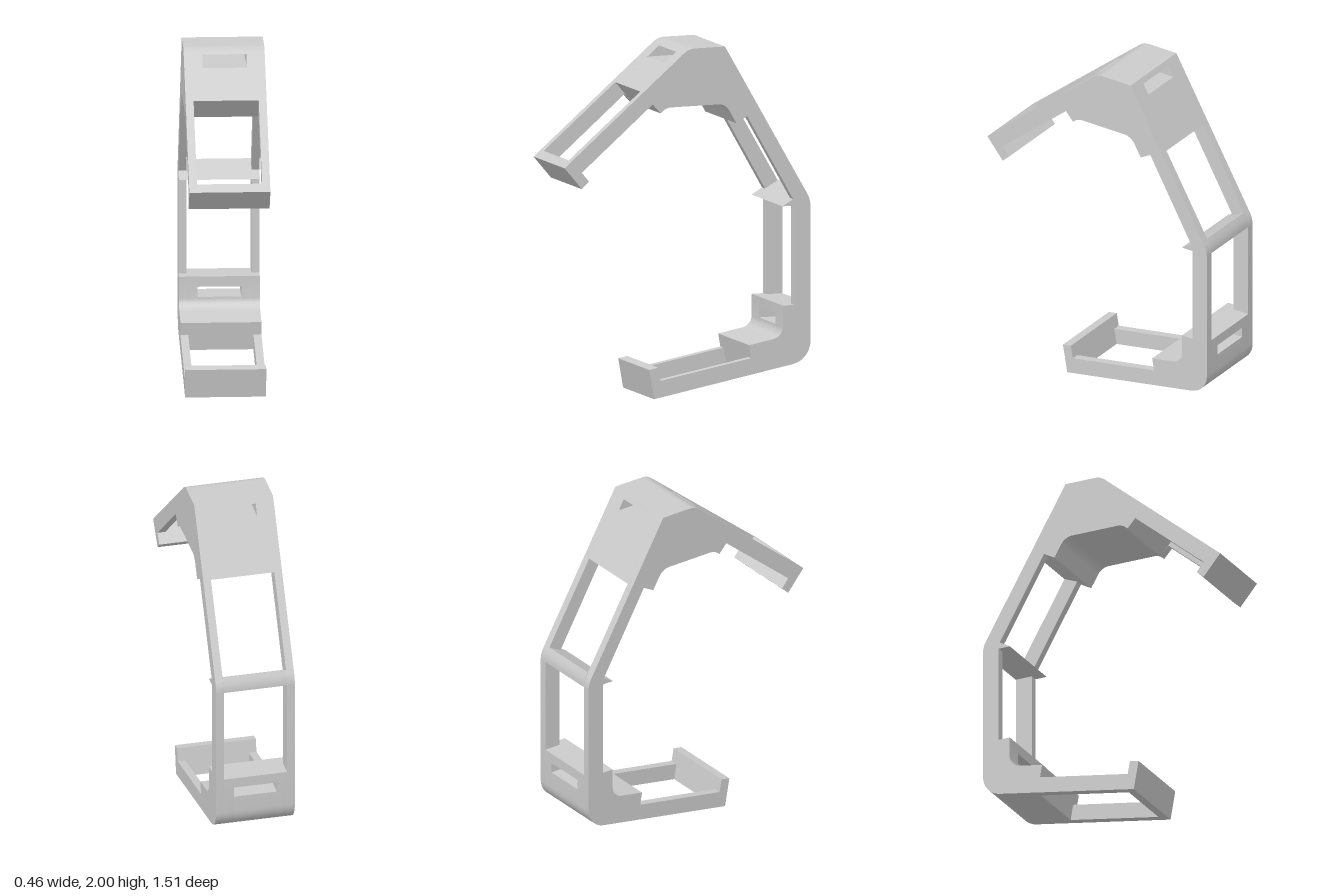
import * as THREE from 'three';
import { toCreasedNormals } from 'three/addons/utils/BufferGeometryUtils.js';

const HALF = 0.23, WINDOW = 0.185, SLOT = 0.125; // half widths along x

// Side outline from [z, y, radius] corners; a radius rounds the corner
function outline(points) {
  const shape = new THREE.Shape();
  const v = points.map(([z, y]) => new THREE.Vector2(z, y));
  points.forEach(([z, y, r], i) => {
    if (i === 0) return shape.moveTo(z, y);
    if (!r) return shape.lineTo(z, y);
    const a = v[i - 1].clone().sub(v[i]).normalize();
    const b = v[(i + 1) % v.length].clone().sub(v[i]).normalize();
    const turn = Math.PI - Math.acos(a.dot(b));
    const t = r * Math.tan(turn / 2);
    const c = t - (4 / 3) * Math.tan(turn / 4) * r;
    const at = (dir, d) => v[i].clone().addScaledVector(dir, d);
    const p = at(a, t), c1 = at(a, c), c2 = at(b, c), q = at(b, t);
    shape.lineTo(p.x, p.y);
    shape.bezierCurveTo(c1.x, c1.y, c2.x, c2.y, q.x, q.y);
  });
  return shape;
}

export function createModel() {
  const group = new THREE.Group();
  const material = new THREE.MeshStandardMaterial({ color: 0xcccccc });

  // Extrude a side outline across the x range x0..x1
  function slab(name, points, x0, x1) {
    const geo = new THREE.ExtrudeGeometry(outline(points), {
      depth: x1 - x0, bevelEnabled: false, curveSegments: 12,
    });
    geo.rotateY(-Math.PI / 2).translate(x1, 0, 0);
    const mesh = new THREE.Mesh(toCreasedNormals(geo, 0.5), material);
    mesh.name = name;
    group.add(mesh);
  }
  // The same outline on both sides
  function pair(name, points, x0, x1) {
    slab(name + 'Left', points, x0, x1);
    slab(name + 'Right', points, -x1, -x0);
  }

  // Corner runs shared by the rails and the cross pieces
  const frontTip = [[0.605, 1.275], [0.649, 1.234], [0.755, 1.36]];
  const crown = [[-0.008, 2, 0.1], [-0.23, 2]];
  const crownPad = [[-0.366, 1.592], [-0.3, 1.555], [-0.234, 1.67, 0.08], [0.129, 1.67, 0.08], [0.165, 1.64]];
  const backBend = [-0.755, 1.091, 0.15];
  const heel = [-0.755, 0.169, 0.13];
  const heelPad = [[-0.392, 0.2], [-0.379, 0.275], [-0.585, 0.311, 0.07]];
  const toe = [[0.205, 0], [0.235, 0.17], [0.18, 0.18]];

  // Side rails carry the complete outline
  pair('sideRail', [
    ...frontTip, ...crown, backBend, heel, ...toe, [0.166, 0.103],
    ...heelPad, [-0.585, 0.49], [-0.655, 0.49], [-0.655, 1.06],
    [-0.584, 1.06], [-0.648, 1.098], ...crownPad, [0.214, 1.694], [0.649, 1.328],
  ], WINDOW, HALF);

  // Cross pieces closing the windows
  slab('frontTipBar', [...frontTip, [0.711, 1.397]], -WINDOW, WINDOW);
  slab('backBendBar', [[-0.584, 1.06], [-0.729, 1.1436], backBend, [-0.755, 1.06]], -WINDOW, WINDOW);
  slab('toeBar', [...toe, [0.15, 0.0097]], -WINDOW, WINDOW);

  // Crown block with a slot running front to back
  const crownLow = [...crownPad, [0.272, 1.765]];
  const crownBack = [-0.447, 1.6245];
  pair('crownBlock', [crownBack, ...crownLow, ...crown], SLOT, WINDOW);
  slab('crownBelowSlot', [crownBack, ...crownLow, [0.099, 1.91], [-0.282, 1.91]], -SLOT, SLOT);
  slab('crownAboveSlot', [[-0.247, 1.97], [0.028, 1.97], ...crown], -SLOT, SLOT);

  // Heel block with a matching slot
  const heelFront = [-0.408, 0.108];
  pair('heelBlock', [heelFront, ...heelPad.slice(1), [-0.585, 0.49], [-0.755, 0.49], heel], SLOT, WINDOW);
  slab('heelBelowSlot', [heelFront, ...heelPad.slice(1), [-0.585, 0.37], [-0.755, 0.37], heel], -SLOT, SLOT);
  slab('heelAboveSlot', [[-0.585, 0.43], [-0.585, 0.49], [-0.755, 0.49], [-0.755, 0.43]], -SLOT, SLOT);

  return group;
}
